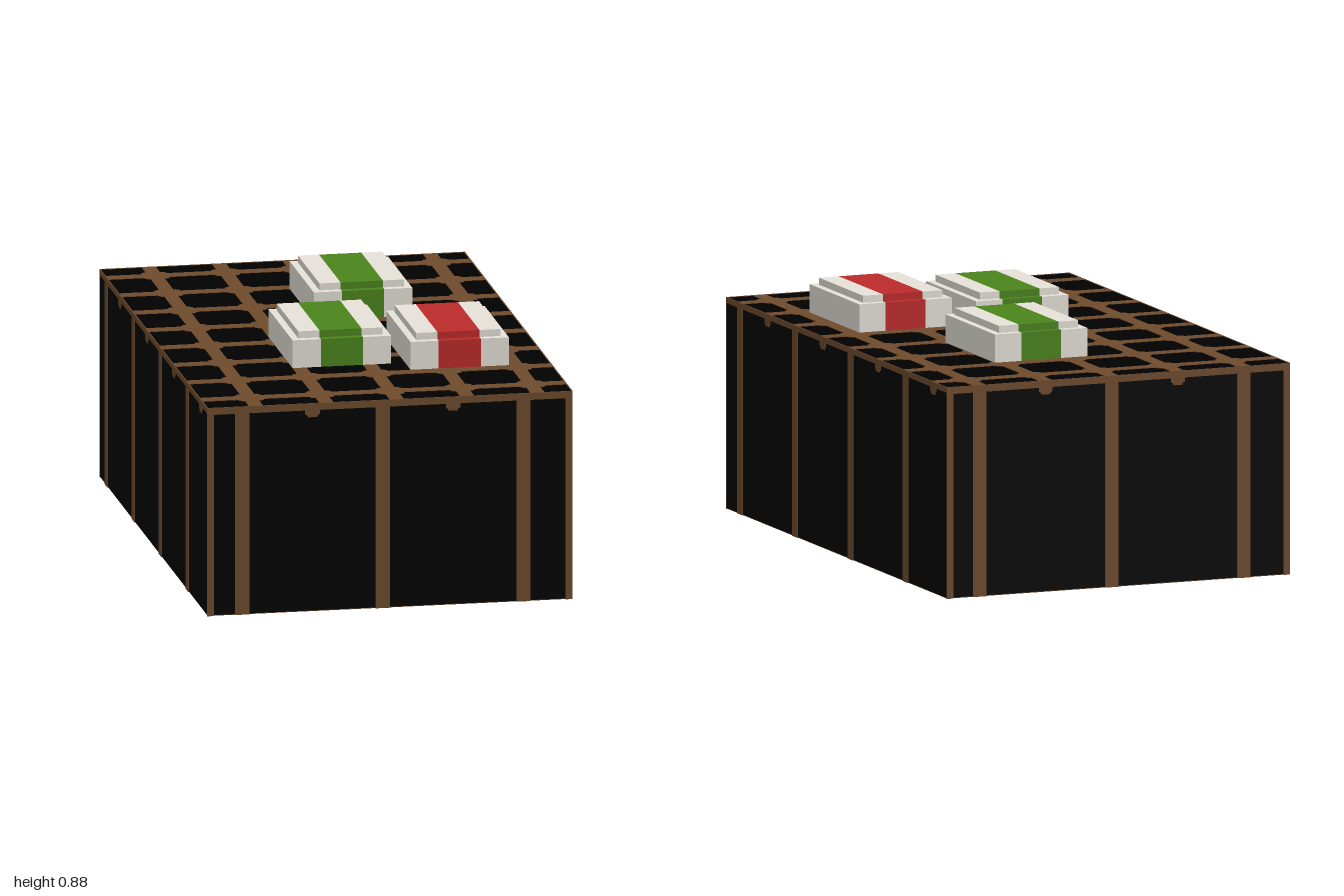
import * as THREE from 'three';

const mat = (name, color) => {
  const m = new THREE.MeshStandardMaterial({ color });
  m.name = name;
  return m;
};

export function createModel() {
  const black = mat('black', 0x010101);
  const brown = mat('brown', 0x6f4b2d);
  const cream = mat('cream', 0xe6e2da);
  const green = mat('green', 0x4b841c);
  const red = mat('red', 0xbd2a2a);
  const olive = mat('olive', 0xb8973f);

  const W = 1.3, H = 0.75, L = 2, T = 0.004;
  const model = new THREE.Group();
  model.name = 'nettedCrate';

  const box = (parent, name, material, w, h, d, x, y, z) => {
    const mesh = new THREE.Mesh(new THREE.BoxGeometry(w, h, d), material);
    mesh.name = name;
    mesh.position.set(x, y, z);
    parent.add(mesh);
  };
  // Thin plate cut from an outline of corner points
  const plate = (points) => new THREE.ExtrudeGeometry(
    new THREE.Shape(points.map(p => new THREE.Vector2(...p))), { depth: T, bevelEnabled: false });

  // Dark body with a brown rim underneath and the floor panel
  box(model, 'body', black, W - T, H - 0.005, L - T, 0, H / 2 + 0.0005, 0);
  box(model, 'bottomRim', brown, W - 0.006, 0.003, L - 0.006, 0, 0.002, 0);
  box(model, 'floorPanel', olive, W - 0.03, 0.004, L - 0.03, 0, 0.002, 0);

  // Net straps on the top, with a small square knot at each crossing
  const top = new THREE.Group();
  top.name = 'topNet';
  model.add(top);
  const xs = [0, 1, 2, 3, 4].map(i => -0.475 + i * 0.25);
  const zs = [0, 1, 2, 3, 4, 5, 6, 7].map(i => -0.875 + i * 0.25);
  const yTop = H - T / 2;
  xs.forEach(x => box(top, 'lengthStrap', brown, 0.05, T, L, x, yTop, 0));
  zs.forEach(z => box(top, 'crossStrap', brown, W, T, 0.05, 0, yTop, z));
  const a = 0.045, b = 0.034;
  const knot = plate([[a, -b], [a, b], [b, a], [-b, a], [-a, b], [-a, -b], [-b, -a], [b, -a]]);
  knot.rotateX(-Math.PI / 2);
  for (const x of xs) for (const z of zs) {
    const m = new THREE.Mesh(knot, brown);
    m.name = 'knot';
    m.position.set(x, H - T, z);
    top.add(m);
  }

  // Wall straps, top bands and tapered tabs; built facing +z, then turned
  const tabGeo = plate([[0.026, 0], [-0.026, 0], [-0.026, -0.014], [-0.017, -0.02],
    [-0.017, -0.025], [0.017, -0.025], [0.017, -0.02], [0.026, -0.014]]);
  const wall = (name, width, dist, angle, straps, tabs, band, posts) => {
    const g = new THREE.Group();
    g.name = name;
    g.rotation.y = angle;
    model.add(g);
    const z = dist - T / 2;
    box(g, 'topBand', brown, width, band, T, 0, H - band / 2, z);
    straps.forEach(x => box(g, 'wallStrap', brown, 0.05, H, T, x, H / 2, z));
    tabs.forEach(x => {
      const m = new THREE.Mesh(tabGeo, brown);
      m.name = 'strapTab';
      m.position.set(x, H - band, dist - T);
      g.add(m);
    });
    if (posts) for (const s of [-1, 1])
      box(g, 'cornerPost', brown, 0.025, H, T, s * (width / 2 - 0.0125), H / 2, z);
  };
  const endStraps = [-0.525, -0.025, 0.475], endTabs = [-0.275, 0.225];
  const sideStraps = [-0.875, -0.375, 0.125, 0.625], sideTabs = [-0.625, -0.125, 0.375, 0.875];
  wall('frontWall', W, L / 2, 0, endStraps, endTabs, 0.025, true);
  wall('backWall', W, L / 2, Math.PI, endStraps, endTabs, 0.025, true);
  wall('leftWall', L, W / 2, Math.PI / 2, sideStraps, sideTabs, 0.02, false);
  wall('rightWall', L, W / 2, -Math.PI / 2, sideStraps, sideTabs, 0.02, false);

  // Banded packages: each tier is two cream ends and a coloured middle
  const parcel = (name, x, z, bandMat) => {
    const g = new THREE.Group();
    g.name = name;
    g.position.set(x, H, z);
    model.add(g);
    const tier = (label, w, h, d, y) => {
      const side = (w - 0.15) / 2;
      box(g, label + 'Band', bandMat, 0.15, h, d, 0, y, 0);
      for (const s of [-1, 1])
        box(g, label + 'End', cream, side, h, d, s * (0.075 + side / 2), y, 0);
    };
    tier('base', 0.35, 0.1, 0.45, 0.05);
    tier('lid', 0.3, 0.025, 0.4, 0.1125);
  };
  parcel('backPackage', 0.125, -0.375, green);
  parcel('middlePackage', -0.075, 0.275, green);
  parcel('frontPackage', 0.325, 0.375, red);

  return model;
}
